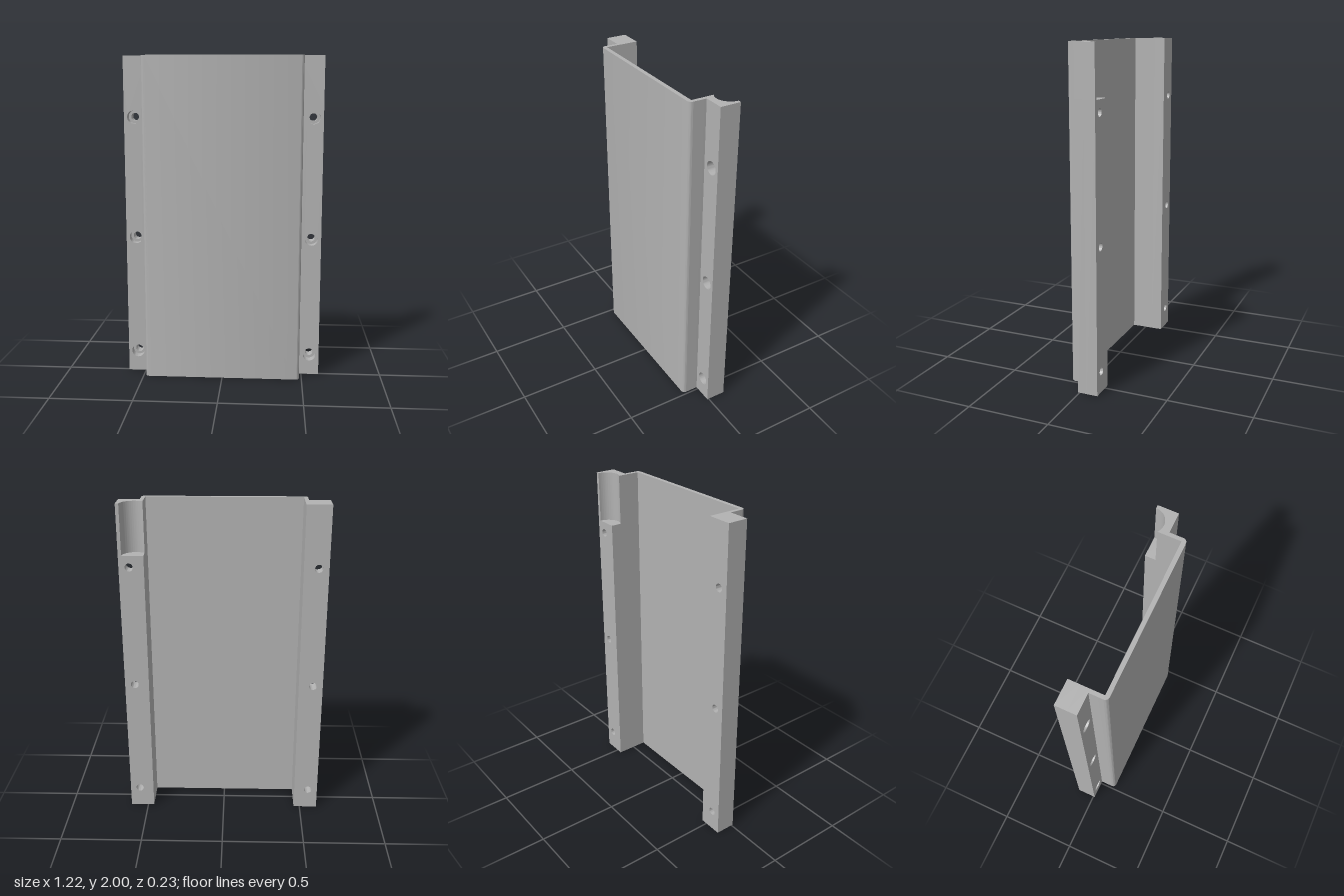
import * as THREE from 'three';
import { toCreasedNormals } from 'three/addons/utils/BufferGeometryUtils.js';

const OUT = 0.485, IN = 0.462, EDGE = 0.61; // wall outer, wall inner, flange outer edge
const BACK = -0.113, STEP = 0.01, FRONT = 0.113, SEAT = -0.045;
const HOLE_X = 0.55, HOLE_Y = [0.13, 0.88, 1.63];
const NOTCH_Y = 1.7;

export function createModel() {
  const group = new THREE.Group();
  const grey = new THREE.MeshStandardMaterial({ color: 0xb2b2b2 });
  grey.name = 'grey';

  const add = (name, geometry) => {
    const mesh = new THREE.Mesh(toCreasedNormals(geometry, 0.6), grey);
    mesh.name = name;
    group.add(mesh);
  };

  // Extrude a plan section (x, -z) upward from y0 to y1
  const upright = (shape, y0, y1) =>
    new THREE.ExtrudeGeometry(shape, { depth: y1 - y0, bevelEnabled: false, curveSegments: 24 })
      .rotateX(-Math.PI / 2).translate(0, y0, 0);

  // Front panel with returned side walls and rounded outer corners
  const r = 0.024;
  const channel = new THREE.Shape();
  channel.moveTo(-OUT, -STEP);
  channel.lineTo(-OUT, -FRONT + r);
  channel.absarc(-OUT + r, -FRONT + r, r, Math.PI, Math.PI * 1.5, false);
  channel.lineTo(OUT - r, -FRONT);
  channel.absarc(OUT - r, -FRONT + r, r, -Math.PI / 2, 0, false);
  channel.lineTo(OUT, -STEP);
  channel.lineTo(IN, -STEP);
  channel.lineTo(IN, -0.088);
  channel.lineTo(-IN, -0.088);
  channel.lineTo(-IN, -STEP);
  channel.closePath();
  add('channelPanel', upright(channel, 0, 2));

  // One layer of a mounting rail, drilled with three holes
  const railLayer = (side, top, z0, z1, radius) => {
    const a = side > 0 ? IN : -EDGE, b = side > 0 ? EDGE : -IN;
    const shape = new THREE.Shape();
    shape.moveTo(a, 0);
    shape.lineTo(b, 0);
    shape.lineTo(b, top);
    shape.lineTo(a, top);
    shape.closePath();
    for (const y of HOLE_Y) {
      const hole = new THREE.Path();
      hole.absarc(side * HOLE_X, y, radius, 0, Math.PI * 2, true);
      shape.holes.push(hole);
    }
    return new THREE.ExtrudeGeometry(shape, { depth: z1 - z0, bevelEnabled: false, curveSegments: 24 })
      .translate(0, 0, z0);
  };

  // Rails: wide screw-head recess in front, narrow bore behind
  for (const [side, label, top] of [[1, 'left', NOTCH_Y], [-1, 'right', 2]]) {
    add(label + 'RailFront', railLayer(side, top, SEAT, STEP, 0.04));
    add(label + 'RailBack', railLayer(side, top, BACK, SEAT, 0.024));
  }

  // Top of the left rail with the round scooped notch
  const notch = new THREE.Shape();
  notch.moveTo(IN, -STEP);
  notch.lineTo(EDGE, -STEP);
  notch.lineTo(EDGE, -BACK);
  notch.lineTo(0.59, -BACK);
  notch.absarc(0.51, -BACK, 0.08, 0, -Math.acos((IN - 0.51) / 0.08), true);
  notch.closePath();
  add('leftRailNotchedTop', upright(notch, NOTCH_Y, 2));

  return group;
}
